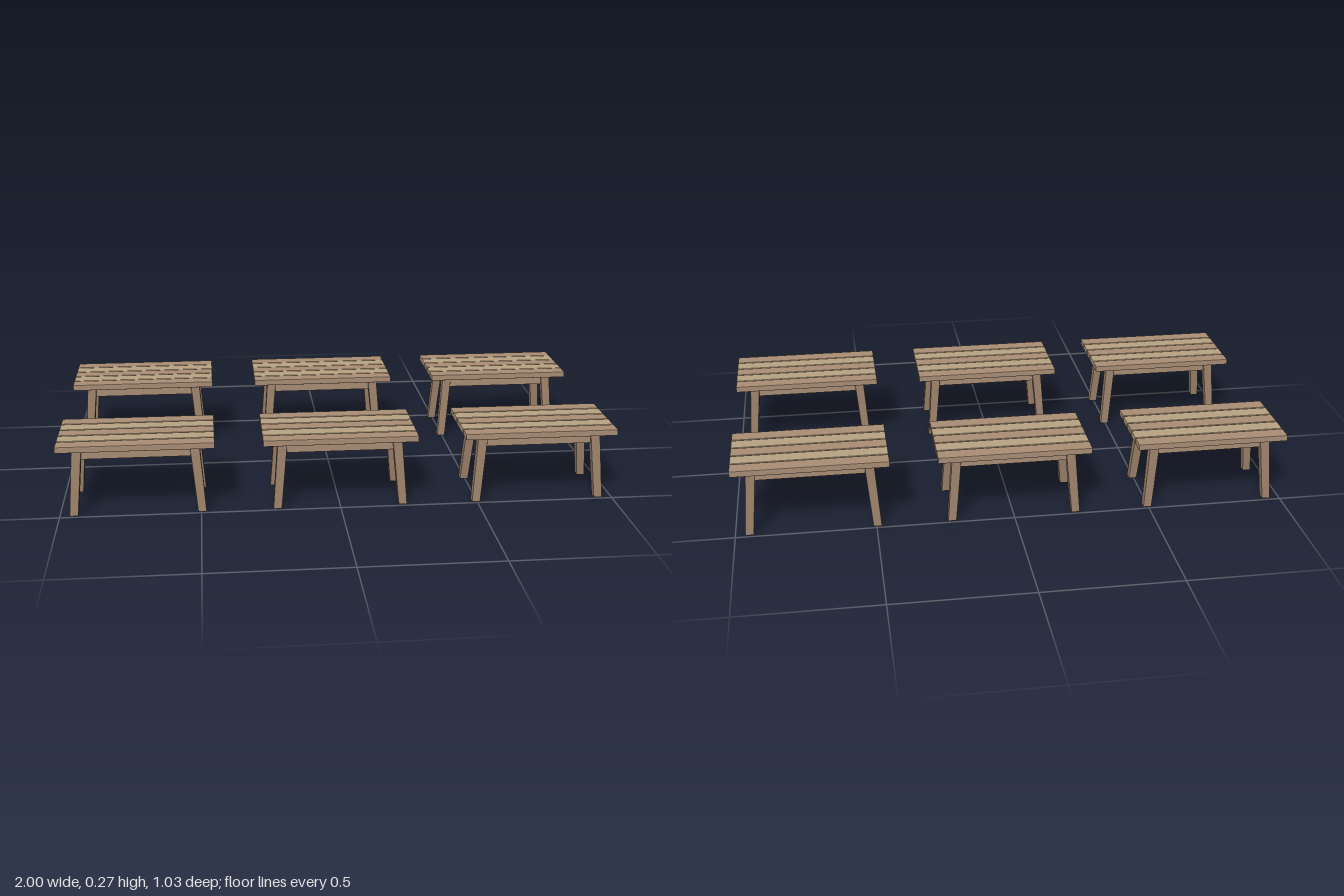
import * as THREE from 'three';
import { RoundedBoxGeometry } from 'three/addons/geometries/RoundedBoxGeometry.js';

const TOP = 0.27, PLANK_H = 0.023, UNDER = TOP - PLANK_H;

const brown = new THREE.MeshStandardMaterial({ color: 0xab8f76, flatShading: true });
const tan = new THREE.MeshStandardMaterial({ color: 0xb9a484, flatShading: true });
const dark = new THREE.MeshStandardMaterial({ color: 0x9e846d, flatShading: true });

// Chamfered board
function board(name, w, h, d, x, y, z, material) {
  const mesh = new THREE.Mesh(new RoundedBoxGeometry(w, h, d, 1, 0.003), material);
  mesh.position.set(x, y, z);
  mesh.name = name;
  return mesh;
}

// Leg that widens upward and leans in towards the table centre
function legGeometry(sx, sz) {
  const geo = new RoundedBoxGeometry(0.031, UNDER, 0.031, 1, 0.003);
  geo.translate(0, UNDER / 2, 0);
  const p = geo.attributes.position;
  for (let i = 0; i < p.count; i++) {
    const t = p.getY(i) / UNDER, widen = 1 + 0.14 * t;
    p.setX(i, p.getX(i) * widen + sx * (0.227 - 0.021 * t));
    p.setZ(i, p.getZ(i) * widen + sz * (0.1145 - 0.0185 * t));
  }
  geo.computeVertexNormals();
  return geo;
}

function createTable() {
  const table = new THREE.Group();
  table.name = 'table';

  // Slatted top, alternating two wood tones
  for (let i = -2; i <= 2; i++) {
    table.add(board('topPlank', 0.554, PLANK_H, 0.058, 0, TOP - PLANK_H / 2, i * 0.0625, i % 2 ? tan : brown));
  }

  // Legs and the aprons between them
  const apronY = UNDER - 0.021;
  for (const s of [-1, 1]) {
    for (const sz of [-1, 1]) {
      const leg = new THREE.Mesh(legGeometry(s, sz), dark);
      leg.name = 'leg';
      table.add(leg);
    }
    table.add(board('longApron', 0.39, 0.042, 0.02, 0, apronY, s * 0.097, brown));
    table.add(board('endApron', 0.02, 0.042, 0.175, s * 0.207, apronY, 0, brown));
  }
  return table;
}

export function createModel() {
  const model = new THREE.Group();
  model.name = 'tables';
  // Two rows of three
  for (const z of [-0.362, 0.362]) {
    for (const x of [-0.723, 0, 0.723]) {
      const table = createTable();
      table.position.set(x, 0, z);
      model.add(table);
    }
  }
  return model;
}
